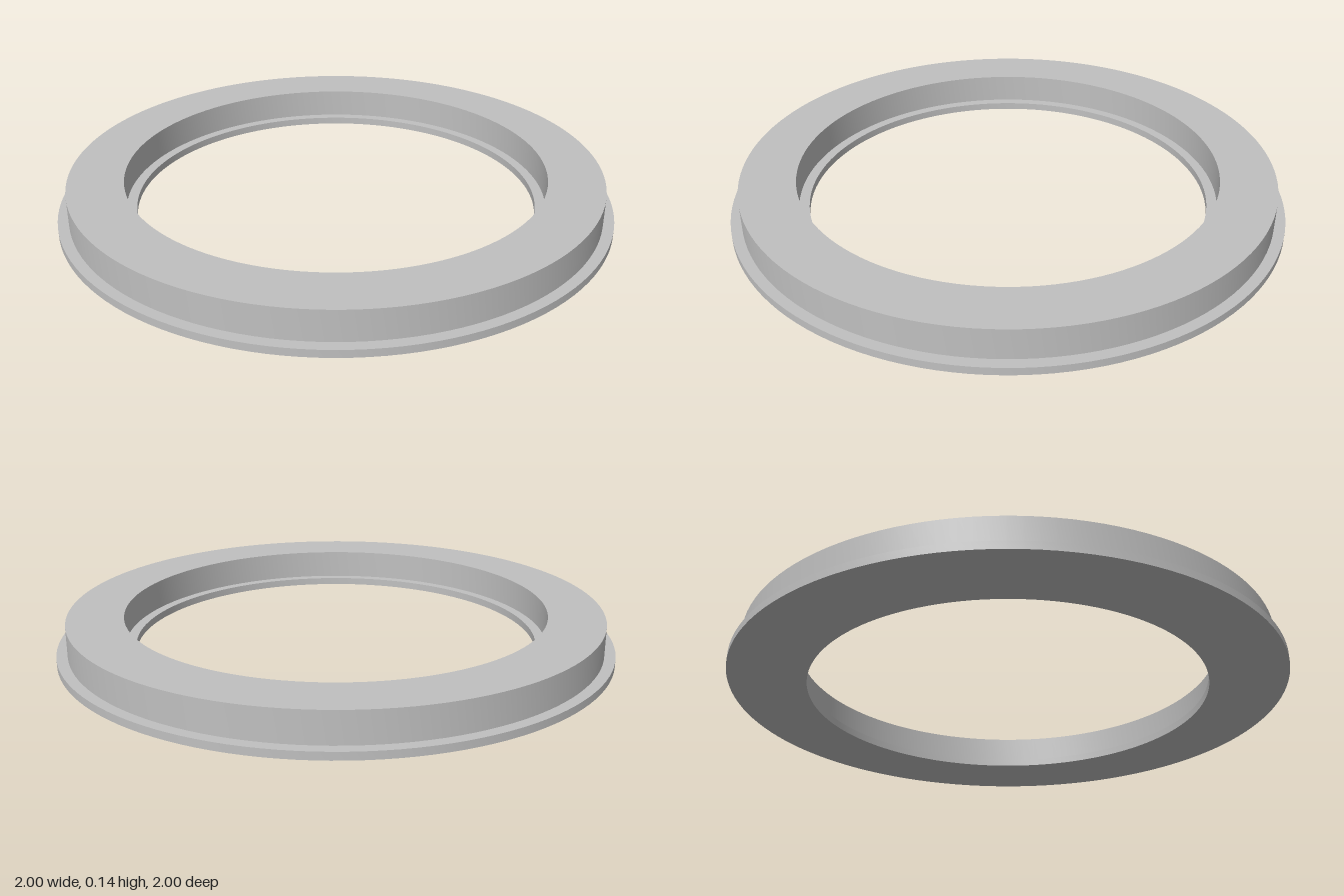
import * as THREE from 'three';
import { toCreasedNormals } from 'three/addons/utils/BufferGeometryUtils.js';

const SEGMENTS = 128;

// Ring of rectangular section, with sharp edges and smooth round walls
function ring(name, inner, outer, bottom, top, material) {
  const profile = [
    [inner, bottom], [outer, bottom], [outer, top], [inner, top], [inner, bottom],
  ].map(([r, y]) => new THREE.Vector2(r, y));
  const geometry = toCreasedNormals(new THREE.LatheGeometry(profile, SEGMENTS), Math.PI / 6);
  const mesh = new THREE.Mesh(geometry, material);
  mesh.name = name;
  return mesh;
}

export function createModel() {
  const group = new THREE.Group();
  group.name = 'flangedRing';
  const grey = new THREE.MeshStandardMaterial({ color: 0xc0c0c0 });
  grey.name = 'light grey';

  // Thin wide base flange, with the narrower raised ring standing on it
  group.add(ring('baseFlange', 0.725, 1, 0, 0.027, grey));
  group.add(ring('raisedRing', 0.762, 0.962, 0.027, 0.135, grey));
  return group;
}
